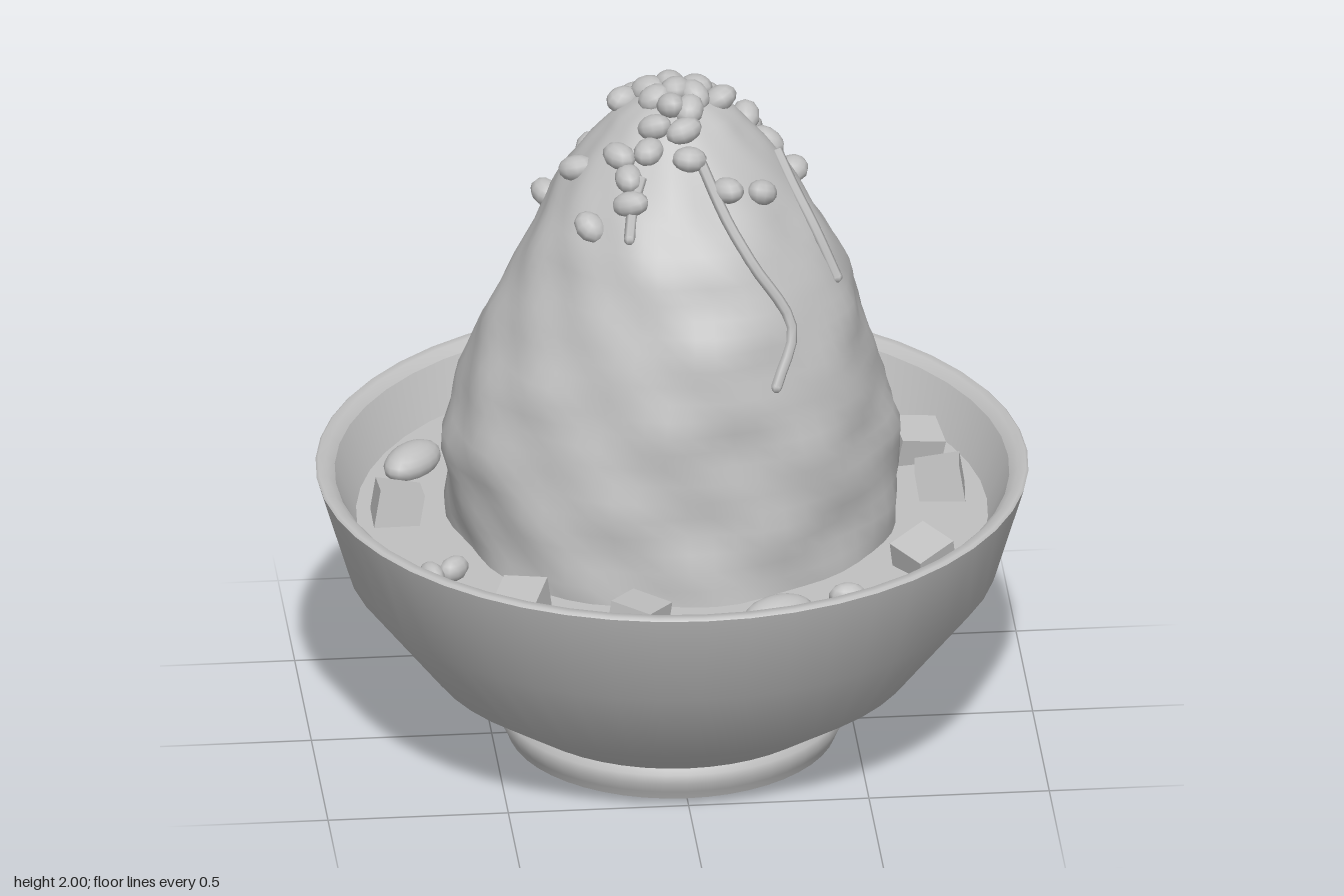
import * as THREE from 'three';
import { mergeVertices } from 'three/addons/utils/BufferGeometryUtils.js';

const TOP = 1.955, LIQUID = 0.66;

// Mound cross-sections: height, centre x, centre z, half width, half depth
const SECTIONS = [
  [0.6, 0, -0.03, 0.62, 0.64], [0.8, -0.005, -0.025, 0.62, 0.62], [0.95, -0.01, -0.005, 0.63, 0.585],
  [1.2, 0, 0.05, 0.555, 0.5], [1.4, 0.02, 0.06, 0.485, 0.44], [1.5, 0.02, 0.065, 0.44, 0.385],
  [1.6, 0.01, 0.06, 0.385, 0.35], [1.7, 0.005, 0.03, 0.325, 0.305], [1.8, 0.005, 0.015, 0.25, 0.225],
  [1.9, 0.01, 0, 0.155, 0.135], [1.935, 0.01, 0, 0.09, 0.08], [TOP, 0.01, 0, 0, 0],
];

function section(y) {
  let i = 0;
  while (i < SECTIONS.length - 2 && SECTIONS[i + 1][0] < y) i++;
  const a = SECTIONS[i], b = SECTIONS[i + 1];
  const t = THREE.MathUtils.clamp((y - a[0]) / (b[0] - a[0]), 0, 1);
  return a.map((v, k) => v + (b[k] - v) * t);
}

const bumps = (a, y) => 1 + 0.016 * Math.sin(3 * a + 5 * y) + 0.012 * Math.sin(7 * a - 9 * y)
  + 0.009 * Math.sin(11 * a + 19 * y) + 0.007 * Math.sin(5 * a - 31 * y);

// Point on the mound at an angle (from +z towards +x) and height
function onMound(a, y, lift = 0) {
  const [, cx, cz, rx, rz] = section(y), n = bumps(a, y);
  return new THREE.Vector3(cx + (rx * n + lift) * Math.sin(a), y, cz + (rz * n + lift) * Math.cos(a));
}

// Height of the mound above a point on the ground plan
function moundHeight(x, z) {
  for (let y = TOP - 0.003; y > LIQUID; y -= 0.005) {
    const [, cx, cz, rx, rz] = section(y);
    const u = (x - cx) / rx, v = (z - cz) / rz;
    if (Math.hypot(u, v) <= bumps(Math.atan2(u, v), y)) return y;
  }
  return LIQUID;
}

export function createModel() {
  const model = new THREE.Group();
  const grey = new THREE.MeshStandardMaterial({ color: 0xc0c0c0 });
  grey.name = 'plain grey';

  let seed = 7;
  const random = () => (seed = (seed * 16807) % 2147483647) / 2147483647;

  const add = (name, geometry, parent = model) => {
    const mesh = new THREE.Mesh(geometry, grey);
    mesh.name = name;
    parent.add(mesh);
    return mesh;
  };
  const group = (name) => {
    const g = new THREE.Group();
    g.name = name;
    model.add(g);
    return g;
  };
  const lathe = (name, points) =>
    add(name, new THREE.LatheGeometry(points.map(([r, y]) => new THREE.Vector2(r, y)), 48));

  // Bowl, in pieces so that the edges stay sharp
  lathe('bowlBase', [[0, 0], [0.455, 0]]);
  lathe('bowlFoot', [[0.455, 0], [0.465, 0.025], [0.48, 0.055], [0.475, 0.08], [0.462, 0.1]]);
  lathe('bowlOuterWall', [[0.462, 0.095], [0.68, 0.24], [0.9, 0.52], [0.985, 0.805]]);
  lathe('bowlRim', [[0.985, 0.805], [0.978, 0.812], [0.955, 0.812], [0.932, 0.79]]);
  lathe('bowlInnerWall', [[0.932, 0.79], [0.873, LIQUID], [0.8, 0.52]]);
  const liquid = add('liquid', new THREE.CircleGeometry(0.876, 48));
  liquid.rotation.x = -Math.PI / 2;
  liquid.position.y = LIQUID;

  // Lumpy mound of shaved ice
  const rows = Array.from({ length: 34 }, (_, i) => new THREE.Vector2(1, 0.6 + (TOP - 0.6) * (1 - (1 - i / 33) ** 1.3)));
  let ice = new THREE.LatheGeometry(rows, 56);
  const pos = ice.attributes.position;
  for (let i = 0; i < pos.count; i++) {
    const p = onMound(Math.atan2(pos.getX(i), pos.getZ(i)), pos.getY(i));
    pos.setXYZ(i, p.x, p.y, p.z);
  }
  ice.deleteAttribute('normal');
  ice.deleteAttribute('uv');
  ice = mergeVertices(ice, 1e-5);
  ice.computeVertexNormals();
  add('iceMound', ice);

  // Syrup drips as [angle, height] paths down the mound
  const drips = group('syrupDrips');
  [
    [[0.25, 1.83], [0.38, 1.7], [0.47, 1.6], [0.6, 1.42], [0.46, 1.27]],
    [[1.55, 1.77], [1.35, 1.7], [1.25, 1.6], [1.17, 1.47]],
    [[2.2, 1.2], [2.28, 1.05], [2.4, 0.89]],
    [[3.7, 1.78], [3.67, 1.62], [3.67, 1.47], [3.95, 1.29]],
    [[-0.45, 1.8], [-0.47, 1.74], [-0.45, 1.67]],
  ].forEach((path) => {
    const curve = new THREE.CatmullRomCurve3(path.map(([a, y]) => onMound(a, y, 0.004)));
    add('drip', new THREE.TubeGeometry(curve, 16, 0.016, 6), drips);
    const tip = add('dripTip', new THREE.SphereGeometry(0.016, 6, 5), drips);
    tip.position.copy(curve.getPoint(1));
  });

  // Beans scattered over the top, as [x, z]
  const beans = group('beans');
  const bean = new THREE.SphereGeometry(0.048, 10, 7);
  [
    [-0.32, -0.36], [-0.34, -0.27], [-0.22, -0.25], [-0.21, -0.2], [-0.09, -0.28], [-0.31, -0.17], [-0.34, -0.11],
    [-0.27, 0.06], [-0.25, 0.25], [-0.14, 0.27], [-0.16, 0.15], [-0.06, 0.12], [0.03, 0.2], [0.13, 0.25],
    [0.23, 0.21], [0.06, -0.27], [0.13, -0.26], [0.17, -0.2], [0.3, -0.3], [0.32, -0.25], [0.28, -0.23],
    [0.22, -0.16], [0.21, -0.07], [0.34, -0.07], [0.27, -0.08], [-0.13, -0.06], [-0.1, -0.12], [-0.05, 0.02],
    [0, -0.07], [0.08, -0.18], [0.11, -0.13], [0.07, -0.05], [0.06, 0.02], [0.13, 0], [0.04, 0.08],
    [-0.01, 0.07], [-0.08, 0.17], [-0.14, 0.21], [0.02, 0.14], [0.01, 0], [-0.06, -0.06],
  ].forEach(([x, z]) => {
    const m = add('bean', bean, beans);
    m.position.set(x, moundHeight(x, z) + 0.008, z);
    m.rotation.set(random() - 0.5, random() * 6.28, random() - 0.5);
    m.scale.set(1 + random() * 0.15, 0.75, 0.8 + random() * 0.1);
  });

  // Fruit cubes floating around the mound, as [x, z, turn]
  const cubes = group('fruitCubes');
  const cube = new THREE.BoxGeometry(0.125, 0.125, 0.125);
  [
    [-0.76, -0.04, 0.02], [-0.46, -0.61, 0.5], [0.1, -0.78, 0.2], [0.7, -0.29, 0.15],
    [0.75, -0.06, -0.1], [0.66, 0.41, 0.65], [-0.16, 0.73, -0.6], [-0.47, 0.61, -0.35],
  ].forEach(([x, z, turn], i) => {
    const m = add('fruitCube', cube, cubes);
    m.position.set(x, LIQUID + 0.025, z);
    m.rotation.set(i % 2 ? 0.18 : -0.15, turn, i % 3 ? 0.15 : -0.18);
  });

  // Long oval fruits, as [x, z, turn]
  const ovals = group('ovalFruits');
  [[-0.69, -0.33, 0.85], [0.41, -0.66, -0.15], [0.23, 0.71, 0.4]].forEach(([x, z, turn]) => {
    const m = add('ovalFruit', new THREE.SphereGeometry(0.1, 16, 10), ovals);
    m.position.set(x, LIQUID + 0.025, z);
    m.rotation.y = turn;
    m.scale.set(1.05, 0.5, 0.62);
  });

  // Pairs of small floating beans, as [x, z, turn]
  const pairs = group('floatingBeans');
  [[-0.14, -0.78, 1.6], [-0.67, 0.37, 0.5], [0.44, 0.65, -1.3]].forEach(([x, z, turn]) => {
    [-1, 1].forEach((side) => {
      const m = add('floatingBean', bean, pairs);
      m.position.set(x + side * 0.036 * Math.cos(turn), LIQUID + 0.025, z - side * 0.036 * Math.sin(turn));
      m.rotation.y = turn + (side > 0 ? 0.3 : 1.3);
      m.scale.set(1.1, 0.75, 0.7);
    });
  });

  return model;
}
